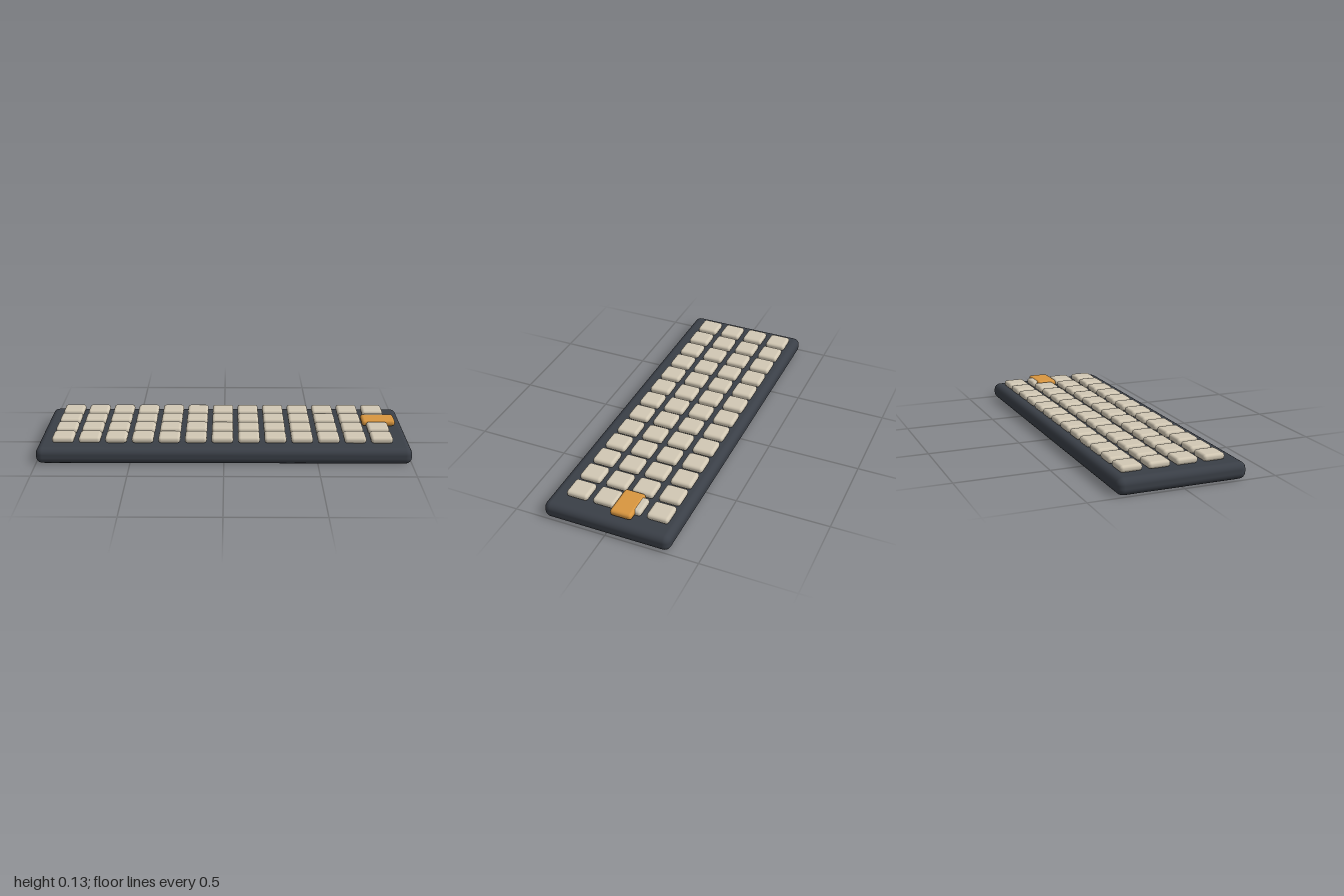
import * as THREE from 'three';
import { RoundedBoxGeometry } from 'three/addons/geometries/RoundedBoxGeometry.js';

const material = (color) => new THREE.MeshStandardMaterial({ color });

export function createModel() {
  const model = new THREE.Group();
  model.name = 'keyboard';

  const add = (parent, name, geometry, mat, x, y, z) => {
    const mesh = new THREE.Mesh(geometry, mat);
    mesh.name = name;
    mesh.position.set(x, y, z);
    parent.add(mesh);
  };

  // Case: one rounded slab
  const caseHeight = 0.089;
  add(model, 'case', new RoundedBoxGeometry(2, caseHeight, 0.687, 3, 0.036),
    material(0x3a3f47), 0, caseHeight / 2, 0);

  // Key grid: 4 rows of 13 equal caps
  const keys = new THREE.Group();
  keys.name = 'keys';
  model.add(keys);
  const size = 0.1175, height = 0.036;
  const keyGeometry = new RoundedBoxGeometry(size, height, size, 2, 0.016);
  const keyMaterial = material(0xd2c8b4);
  for (let row = 0; row < 4; row++) {
    for (let col = 0; col < 13; col++) {
      add(keys, `key${row + 1}_${col + 1}`, keyGeometry, keyMaterial,
        -0.8625 + col * 0.1424, 0.107, -0.24 + row * 0.147);
    }
  }

  // Wide accent key, slightly raised, between the second and third rows
  add(model, 'enterKey', new RoundedBoxGeometry(0.185, height, size, 2, 0.016),
    material(0xd9963f), 0.86, 0.111, -0.064);

  return model;
}
